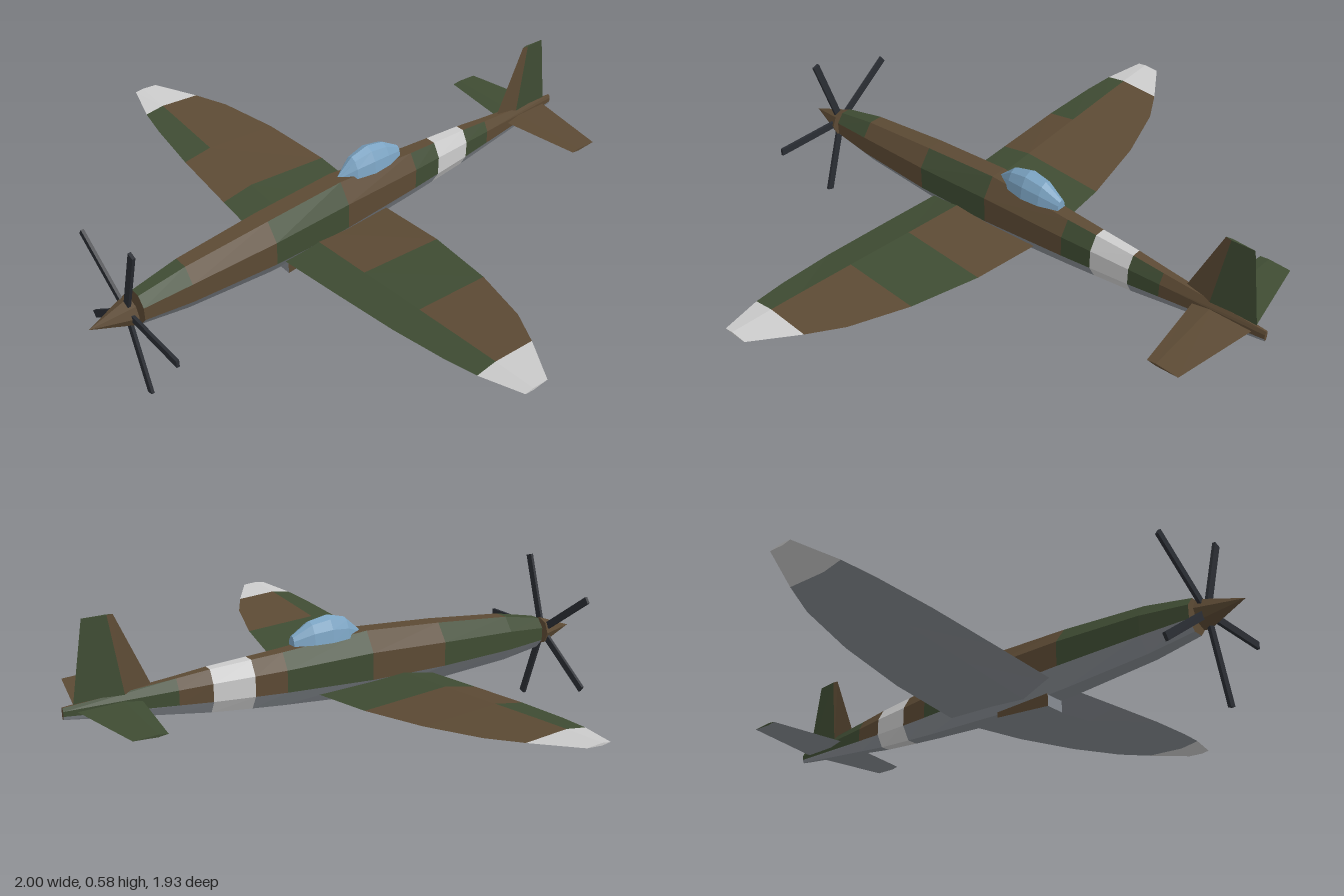
import * as THREE from 'three';

const GREEN = 0x3f4c33, BROWN = 0x5c4a34, GREY = 0x868b91, LIGHT = 0xcccccc, GLASS = 0x7ba3c2, DARK = 0x2a2d33;
const material = (color) => new THREE.MeshStandardMaterial({ color, flatShading: true });

// Skin closed rings of points; colorOf(segment, side) paints each panel, -1 meaning an end cap.
function loft(name, rings, colorOf) {
  const tris = [];
  const add = (a, b, c, color) => tris.push({ p: [a, b, c], color });
  const n = rings[0].length;
  for (let i = 0; i < rings.length - 1; i++) {
    for (let j = 0; j < n; j++) {
      const k = (j + 1) % n, color = colorOf(i, j);
      add(rings[i][j], rings[i][k], rings[i + 1][k], color);
      add(rings[i][j], rings[i + 1][k], rings[i + 1][j], color);
    }
  }
  const first = rings[0], last = rings[rings.length - 1];
  for (let j = 1; j < n - 1; j++) {
    add(first[0], first[j + 1], first[j], colorOf(0, -1));
    add(last[0], last[j], last[j + 1], colorOf(rings.length - 2, -1));
  }
  // Turn every face outward whatever the ring direction
  const volume = tris.reduce((v, { p }) => v + p[0].dot(new THREE.Vector3().crossVectors(p[1], p[2])), 0);
  const byColor = new Map();
  for (const { p, color } of tris) {
    if (!byColor.has(color)) byColor.set(color, []);
    byColor.get(color).push(...(volume < 0 ? [p[0], p[2], p[1]] : p));
  }
  const group = new THREE.Group();
  group.name = name;
  for (const [color, points] of byColor) {
    const geometry = new THREE.BufferGeometry().setFromPoints(points);
    geometry.computeVertexNormals();
    const mesh = new THREE.Mesh(geometry, material(color));
    mesh.name = name + 'Panels';
    group.add(mesh);
  }
  return group;
}

const V = (x, y, z) => new THREE.Vector3(x, y, z);

// Diamond aerofoil across x: leading edge, ridge, trailing edge, underside ridge
const foil = (x, y, lead, trail, ridge, t) => [V(x, y, lead), V(x, y + t, ridge), V(x, y, trail), V(x, y - t, ridge)];

function fuselage() {
  // z, top, bottom, half width
  const stations = [
    [0.8, 0.324, 0.215, 0.043], [0.64, 0.355, 0.195, 0.06], [0.34, 0.382, 0.18, 0.074], [0.05, 0.4, 0.175, 0.072],
    [-0.26, 0.376, 0.198, 0.053], [-0.37, 0.37, 0.208, 0.046], [-0.51, 0.363, 0.222, 0.038],
    [-0.62, 0.353, 0.238, 0.03], [-0.97, 0.325, 0.288, 0.007],
  ];
  const c = Math.cos(Math.PI / 8);
  const rings = stations.map(([z, top, bottom, w]) => Array.from({ length: 8 }, (_, j) => {
    const a = (j - 0.5) * Math.PI / 4;
    return V(w * Math.cos(a) / c, (top + bottom) / 2 + (top - bottom) / 2 * Math.sin(a) / c, z);
  }));
  // Sides 0..4 run from the left flank over the top to the right flank
  const left = [BROWN, BROWN, GREEN, BROWN, GREEN, LIGHT, GREEN, BROWN];
  const right = [GREEN, GREEN, BROWN, GREEN, BROWN, LIGHT, BROWN, GREEN];
  return loft('fuselage', rings, (i, j) => {
    if (i === 5) return LIGHT;
    if (j > 4) return GREY;
    if (j === 1 && i === 0) return GREEN;
    if (j === 2) return i === 0 ? GREEN : BROWN;
    return j < 2 ? left[i] : right[i];
  });
}

function wing() {
  // x, leading z, trailing z, half thickness
  const half = [
    [0, 0.3, -0.14, 0.027], [0.3, 0.29, -0.13, 0.021], [0.55, 0.28, -0.09, 0.017],
    [0.75, 0.262, -0.03, 0.013], [0.86, 0.245, 0.03, 0.01], [1, 0.205, 0.12, 0.004],
  ];
  const stations = [...half.slice(1).reverse().map(([x, ...r]) => [-x, ...r]), ...half];
  const rings = stations.map(([x, lead, trail, t]) => foil(x, 0.212 + 0.104 * Math.abs(x), lead, trail, 0.175, t));
  const rear = [LIGHT, BROWN, BROWN, BROWN, GREEN, BROWN, GREEN, BROWN, BROWN, LIGHT];
  const front = [LIGHT, GREEN, GREEN, BROWN, GREEN, GREEN, GREEN, GREEN, GREEN, LIGHT];
  return loft('wing', rings, (i, j) => {
    if (i === 0 || i === 9) return LIGHT;
    return j === 0 ? front[i] : j === 1 ? rear[i] : GREY;
  });
}

function tailplane() {
  const rings = [
    foil(-0.3, 0.306, -0.77, -0.875, -0.8, 0.004),
    foil(0, 0.306, -0.73, -0.93, -0.79, 0.009),
    foil(0.3, 0.306, -0.77, -0.875, -0.8, 0.004),
  ];
  return loft('tailplane', rings, (i, j) => (j > 1 ? GREY : i === 0 ? GREEN : BROWN));
}

function fin() {
  const ring = (y, lead, ridge, trail, t) => [V(0, y, lead), V(t, y, ridge), V(0, y, trail), V(-t, y, ridge)];
  const rings = [ring(0.31, -0.68, -0.78, -0.94, 0.012), ring(0.58, -0.8, -0.82, -0.895, 0.004)];
  return loft('tailFin', rings, (i, j) => (j === 0 || j === 3 ? BROWN : GREEN));
}

function canopy() {
  // z, half width, top
  const stations = [
    [0.04, 0.004, 0.398], [-0.02, 0.036, 0.452], [-0.085, 0.048, 0.469], [-0.15, 0.041, 0.457], [-0.215, 0.018, 0.417],
  ];
  const rings = stations.map(([z, w, top]) => Array.from({ length: 7 }, (_, j) => {
    const a = j * Math.PI / 6, base = 0.385;
    return V(w * Math.cos(a), base + (top - base) * Math.sin(a), z);
  }));
  return loft('canopy', rings, () => GLASS);
}

function radiator() {
  const ring = (z, bottom) => [V(0.034, bottom, z), V(0.034, 0.2, z), V(-0.034, 0.2, z), V(-0.034, bottom, z)];
  return loft('radiator', [ring(0.27, 0.14), ring(0.06, 0.162)], (i, j) => (j === 0 || j === 2 ? BROWN : GREY));
}

function propeller() {
  const group = new THREE.Group();
  group.name = 'propeller';
  group.position.set(0, 0.27, 0.835);
  const spinner = new THREE.Mesh(new THREE.ConeGeometry(0.05, 0.14, 8), material(BROWN));
  spinner.name = 'spinner';
  spinner.rotation.x = Math.PI / 2;
  spinner.position.z = 0.055;
  group.add(spinner);
  // Five flat blades
  const bladeGeometry = new THREE.BoxGeometry(0.28, 0.025, 0.01).translate(0.14, 0, 0);
  for (let i = 0; i < 5; i++) {
    const blade = new THREE.Mesh(bladeGeometry, material(DARK));
    blade.name = 'blade';
    blade.rotation.z = i * Math.PI * 2 / 5;
    group.add(blade);
  }
  return group;
}

export function createModel() {
  const model = new THREE.Group();
  model.name = 'fighterPlane';
  model.add(fuselage(), wing(), tailplane(), fin(), canopy(), radiator(), propeller());
  return model;
}
